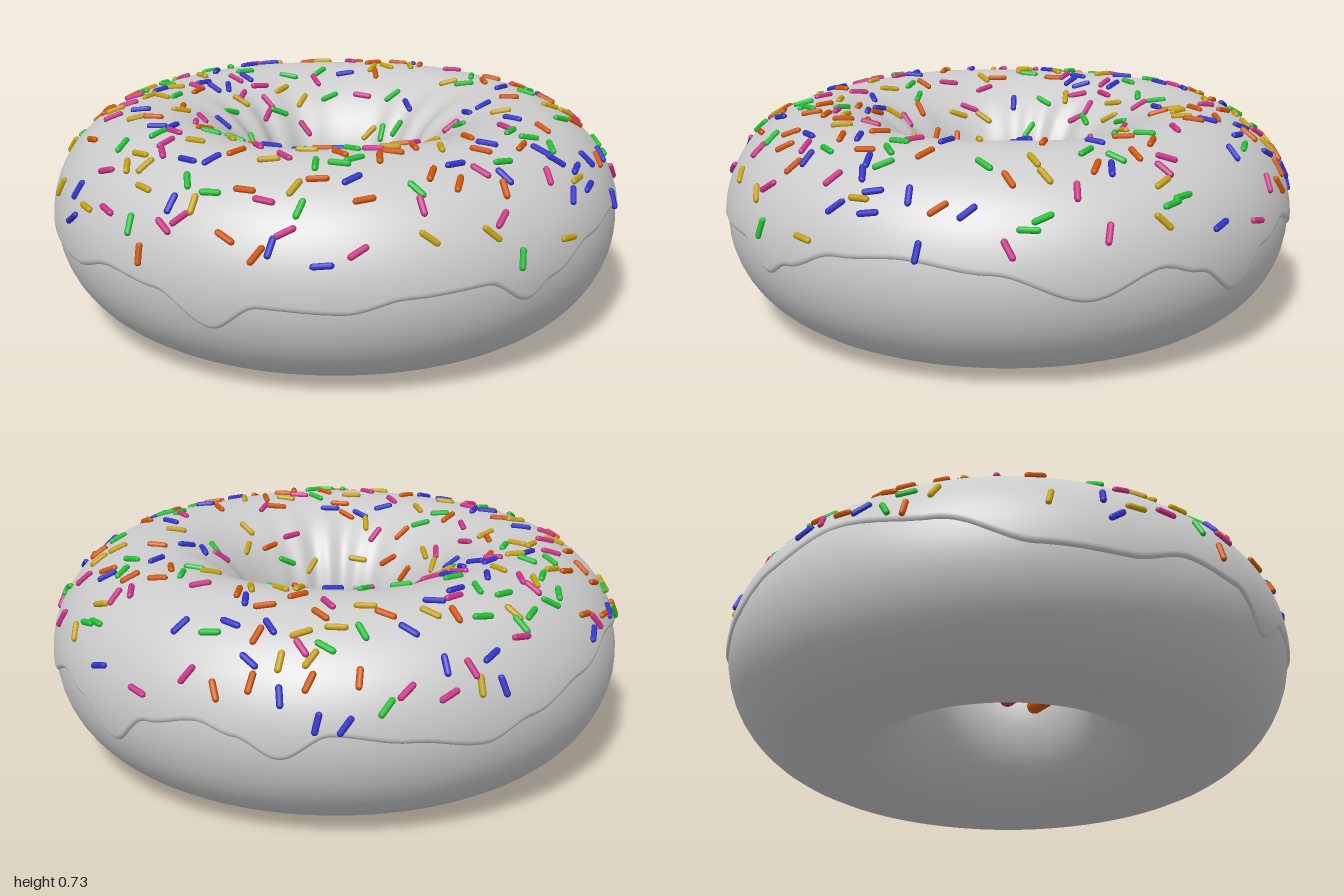
import * as THREE from 'three';
import { mergeGeometries } from 'three/addons/utils/BufferGeometryUtils.js';
import { ParametricGeometry } from 'three/addons/geometries/ParametricGeometry.js';

const RING = 0.635, MID = 0.35, DOUGH = 0.35, TAU = Math.PI * 2;
const COLORS = { blue: 0x3333cc, pink: 0xcc3388, orange: 0xd05505, green: 0x22c035, yellow: 0xc4a010 };

// Height of the icing's outer edge: [angle from +x towards +z in degrees, y]
const DRIPS = [
  [0, 0.25], [10, 0.35], [18, 0.385], [32, 0.31], [49, 0.4], [65, 0.43], [78, 0.41], [90, 0.34],
  [96, 0.29], [105, 0.37], [120, 0.36], [131, 0.32], [146, 0.33], [155, 0.24], [166, 0.34], [178, 0.36],
  [190, 0.31], [207, 0.32], [225, 0.42], [247, 0.48], [263, 0.43], [278, 0.37], [288, 0.32],
  [302, 0.36], [316, 0.39], [325, 0.31], [333, 0.37], [340, 0.4], [351, 0.36],
];

function outerEdge(a) {
  const deg = ((a / TAU * 360) % 360 + 360) % 360;
  let i = DRIPS.length - 1;
  while (DRIPS[i][0] > deg) i--;
  const [a0, y0] = DRIPS[i];
  const [a1, y1] = DRIPS[i + 1] ?? [360, DRIPS[0][1]];
  return THREE.MathUtils.lerp(y0, y1, THREE.MathUtils.smoothstep(deg, a0, a1));
}

function innerEdge(a) {
  return 0.39 + 0.025 * Math.sin(17 * a + Math.sin(3 * a)) + 0.015 * Math.sin(7 * a + 1);
}

// Point on the ring: p runs round the tube (0 = outside, PI/2 = top), a round the hole
function ringPoint(p, a, radius, target) {
  const r = RING + radius * Math.cos(p);
  return target.set(r * Math.cos(a), MID + radius * Math.sin(p), r * Math.sin(a));
}

// Icing radius, with radial wrinkles running into the hole
function icingRadius(p, a) {
  const inner = THREE.MathUtils.smoothstep(p, 1.7, 2.5);
  const patch = 0.5 + 0.5 * Math.sin(3 * a + 0.6);
  const wrinkle = 0.008 * patch * Math.sin(17 * a + Math.sin(3 * a));
  const swell = 0.003 * Math.sin(5 * a + 2 * p);
  return DOUGH + 0.009 + inner * wrinkle + swell * Math.sin(p);
}

function icingSurface(u, v, target) {
  const a = v * TAU;
  const w = u - 0.8 * Math.sin(TAU * u) / TAU; // finer steps at both lips
  const start = Math.asin((outerEdge(a) - MID) / DOUGH);
  const end = Math.PI - Math.asin((innerEdge(a) - MID) / DOUGH);
  const p = THREE.MathUtils.lerp(start, end, w);
  // Rounded lip that dives into the dough
  const k = THREE.MathUtils.clamp(Math.min(w, 1 - w) / 0.02, 0, 1);
  const lip = Math.sqrt(1 - (1 - k) ** 2);
  ringPoint(p, a, THREE.MathUtils.lerp(DOUGH - 0.008, icingRadius(p, a), lip), target);
}

function makeRandom(seed) {
  return () => {
    seed = (seed * 16807) % 2147483647;
    return seed / 2147483647;
  };
}

export function createModel() {
  const model = new THREE.Group();
  const add = (name, geometry, color = 0xcccccc, side = THREE.FrontSide) => {
    const mesh = new THREE.Mesh(geometry, new THREE.MeshStandardMaterial({ color, side }));
    mesh.name = name;
    model.add(mesh);
    return mesh;
  };

  // Dough ring and icing shell
  add('dough', new ParametricGeometry((u, v, t) => ringPoint(u * TAU, v * TAU, DOUGH, t), 48, 96));
  add('icing', new ParametricGeometry(icingSurface, 72, 288), 0xcccccc, THREE.DoubleSide);

  // Sprinkles scattered evenly as seen from above, lying on the icing
  const random = makeRandom(4217);
  const names = Object.keys(COLORS);
  const piles = names.map(() => []);
  const capsule = new THREE.CapsuleGeometry(0.0105, 0.052, 3, 8);
  const up = new THREE.Vector3(0, 1, 0);
  const placed = [];
  for (let tries = 0; placed.length < 280 && tries < 5000; tries++) {
    const a = random() * TAU;
    const r = Math.sqrt(THREE.MathUtils.lerp(0.3 ** 2, 0.99 ** 2, random()));
    const p = Math.acos(THREE.MathUtils.clamp((r - RING) / 0.36, -1, 1));
    const pos = ringPoint(p, a, icingRadius(p, a) + 0.004, new THREE.Vector3());
    if (pos.y < outerEdge(a) + 0.03 && r > RING) continue;
    if (placed.some((q) => q.distanceTo(pos) < 0.045)) continue;
    placed.push(pos);
    const round = new THREE.Vector3(-Math.sin(a), 0, Math.cos(a));
    const over = new THREE.Vector3(-Math.sin(p) * Math.cos(a), Math.cos(p), -Math.sin(p) * Math.sin(a));
    const turn = random() * Math.PI;
    const dir = round.multiplyScalar(Math.cos(turn)).addScaledVector(over, Math.sin(turn));
    const matrix = new THREE.Matrix4().compose(
      pos, new THREE.Quaternion().setFromUnitVectors(up, dir), new THREE.Vector3(1, 1, 1));
    piles[placed.length % names.length].push(capsule.clone().applyMatrix4(matrix));
  }
  names.forEach((name, i) => add(name + 'Sprinkles', mergeGeometries(piles[i]), COLORS[name]));

  // Large loose sprinkles lying across the hole
  for (const [name, z] of [['blue', -0.19], ['pink', 0.07], ['orange', 0.19]]) {
    const large = add(name + 'LargeSprinkle', new THREE.CapsuleGeometry(0.029, 0.232, 6, 16), COLORS[name]);
    large.rotation.z = Math.PI / 2;
    large.position.set(0, 0.32, z);
  }
  return model;
}
